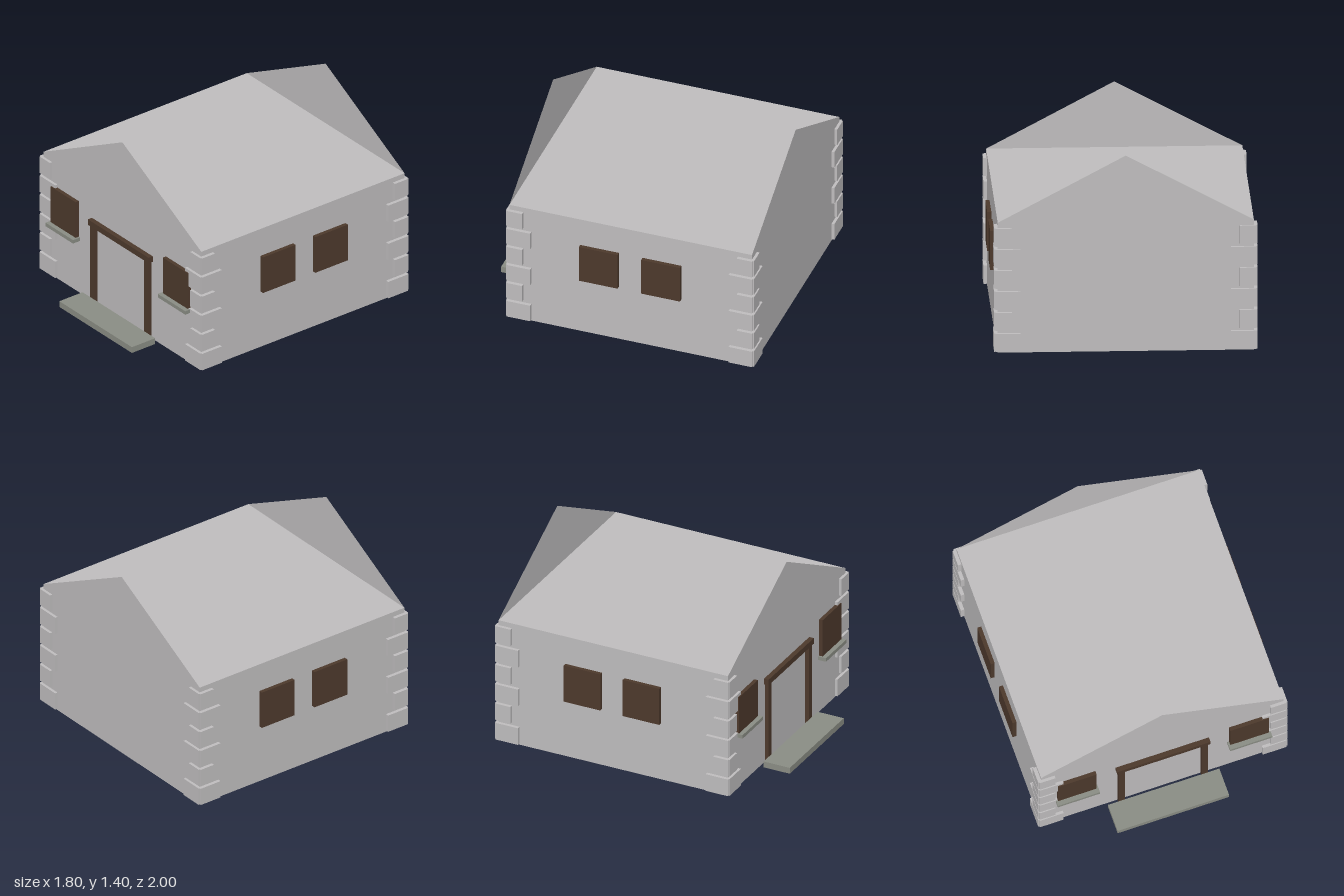
import * as THREE from 'three';

export function createModel() {
  const model = new THREE.Group();
  model.name = 'house';

  const wall = new THREE.MeshStandardMaterial({ name: 'light grey wall', color: 0xbfbdbe });
  const gable = new THREE.MeshStandardMaterial({ name: 'light grey gable', color: 0xbfbdbe, side: THREE.DoubleSide });
  const wood = new THREE.MeshStandardMaterial({ name: 'dark brown wood', color: 0x4d392c });
  const stone = new THREE.MeshStandardMaterial({ name: 'grey stone', color: 0x8a8d84 });

  // Box given by its extents along each axis
  function block(name, material, [x0, x1], [y0, y1], [z0, z1], parent = model) {
    const mesh = new THREE.Mesh(new THREE.BoxGeometry(x1 - x0, y1 - y0, z1 - z0), material);
    mesh.position.set((x0 + x1) / 2, (y0 + y1) / 2, (z0 + z1) / 2);
    mesh.name = name;
    parent.add(mesh);
    return mesh;
  }
  // Extents reflected to the side given by s
  const flip = (s, a, b) => (s > 0 ? [a, b] : [-b, -a]);

  const W = 0.87, FRONT = 0.77, BACK = -0.98, BASE = 0.015, EAVE = 0.935, RIDGE = 1.4;

  // Flat-topped body
  block('walls', wall, [-W, W], [BASE, EAVE], [BACK, FRONT]);

  // Free-standing sheet gables at both ends
  const triangle = new THREE.Shape([
    new THREE.Vector2(-W, EAVE), new THREE.Vector2(W, EAVE), new THREE.Vector2(0, RIDGE),
  ]);
  for (const [name, z, turn] of [['frontGable', FRONT, 0], ['backGable', BACK, Math.PI]]) {
    const sheet = new THREE.Mesh(new THREE.ShapeGeometry(triangle), gable);
    sheet.name = name;
    sheet.position.z = z;
    sheet.rotation.y = turn;
    model.add(sheet);
  }

  // Corner stones: alternating long and short pairs of plates
  const quoins = new THREE.Group();
  quoins.name = 'cornerStones';
  model.add(quoins);
  for (const s of [-1, 1]) {
    for (let i = 0; i < 6; i++) {
      const y = [0.025 + i * 0.149, 0.153 + i * 0.149];
      const length = i % 2 === 0 ? 0.17 : 0.112;
      const endX = flip(s, 0.885 - length, 0.885);
      const sideX = flip(s, W - 0.01, 0.895);
      block('frontCornerStone', wall, endX, y, [FRONT - 0.01, 0.79], quoins);
      block('backCornerStone', wall, endX, y, [-1, BACK + 0.01], quoins);
      block('sideFrontCornerStone', wall, sideX, y, [0.782 - length, 0.782], quoins);
      block('sideBackCornerStone', wall, sideX, y, [-0.99, -0.99 + length], quoins);
    }
  }

  for (const s of [-1, 1]) {
    // Front windows with sills
    block('frontWindow', wood, flip(s, 0.48, 0.757), [0.447, 0.725], [FRONT - 0.01, 0.797]);
    block('windowSill', stone, flip(s, 0.467, 0.77), [0.42, 0.447], [FRONT - 0.01, 0.83]);
    // Side windows
    for (const z of [-0.47, -0.02 + 0.002]) {
      const z0 = z < -0.1 ? z : -0.02;
      block('sideWindow', wood, flip(s, W - 0.01, 0.898), [0.447, 0.725], [z0, z0 + 0.28]);
    }
    // Door posts
    block('doorPost', wood, flip(s, 0.275, 0.32), [0, 0.62], [FRONT - 0.005, 0.797]);
  }

  // Door lintel and front step
  block('doorLintel', wood, [-0.335, 0.335], [0.617, 0.66], [FRONT - 0.01, 0.805]);
  block('frontStep', stone, [-0.4, 0.4], [BASE, 0.06], [0.8, 1]);

  return model;
}
